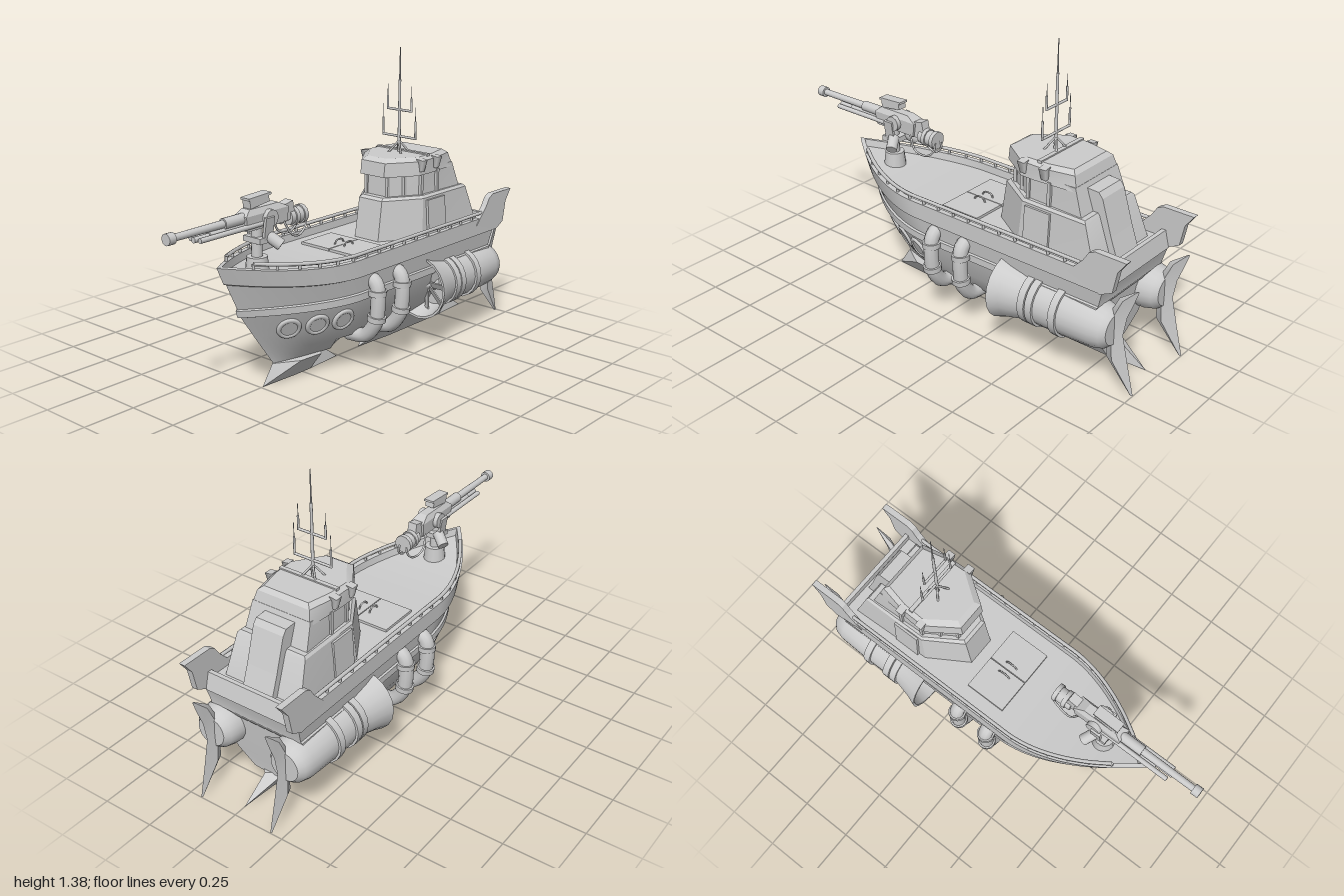
import * as THREE from 'three';
import { toCreasedNormals } from 'three/addons/utils/BufferGeometryUtils.js';

const solid = new THREE.MeshStandardMaterial({ color: 0xcccccc });
const shell = new THREE.MeshStandardMaterial({ color: 0xcccccc, side: THREE.DoubleSide });
const V = (x, y, z) => new THREE.Vector3(x, y, z);

function add(parent, name, geometry, pos = [0, 0, 0], rot = [0, 0, 0], mat = solid) {
  const mesh = new THREE.Mesh(geometry, mat);
  mesh.name = name;
  mesh.position.set(...pos);
  mesh.rotation.set(...rot);
  parent.add(mesh);
  return mesh;
}
const box = (p, name, w, h, d, pos, rot) => add(p, name, new THREE.BoxGeometry(w, h, d), pos, rot);

// Cylinder between two points
function rod(parent, name, a, b, r1, r2 = r1, sides = 14) {
  const A = V(...a), B = V(...b), d = B.clone().sub(A);
  const m = add(parent, name, new THREE.CylinderGeometry(r2, r1, d.length(), sides));
  m.position.copy(A).add(B).multiplyScalar(0.5);
  m.quaternion.setFromUnitVectors(V(0, 1, 0), d.normalize());
  return m;
}
const tube = (p, name, pts, r, n = 32, sides = 12) =>
  add(p, name, new THREE.TubeGeometry(new THREE.CatmullRomCurve3(pts, false, 'centripetal'), n, r, sides), [0, 0, 0], [0, 0, 0], shell);

// Skin through rows of points
function loft(rows, closed = true, crease = 0.55) {
  const n = rows[0].length, index = [], last = closed ? n : n - 1;
  for (let i = 0; i < rows.length - 1; i++) for (let j = 0; j < last; j++) {
    const k = (j + 1) % n, a = i * n + j, b = i * n + k, c = b + n, d = a + n;
    index.push(a, b, c, a, c, d);
  }
  const g = new THREE.BufferGeometry().setFromPoints(rows.flat());
  g.setIndex(index);
  return toCreasedNormals(g, crease);
}

// Capped solid from half outlines [x, z] (front to back), one per height
function tower(parent, name, levels, pos = [0, 0, 0]) {
  const rows = levels.map(([y, ...h]) => [
    ...h.map(([x, z]) => V(x, y, z)), ...h.slice().reverse().map(([x, z]) => V(-x, y, z))]);
  const cap = (row) => {
    const c = V(0, 0, 0);
    row.forEach((p) => c.addScaledVector(p, 1 / row.length));
    return row.map(() => c.clone());
  };
  return add(parent, name, loft([cap(rows[0]), ...rows, cap(rows.at(-1))], true, 0.4), pos, [0, 0, 0], shell);
}

// Flat profile [z, y] extruded across x
function plate(parent, name, pts, width, x = 0) {
  const s = new THREE.Shape(pts.map(([z, y]) => new THREE.Vector2(-z, y)));
  const g = new THREE.ExtrudeGeometry(s, { depth: width, bevelEnabled: false });
  return add(parent, name, g.translate(0, 0, -width / 2).rotateY(Math.PI / 2), [x, 0, 0]);
}

// Hull levels: height, half width, bow z, stern z
const LEVELS = [
  [0.07, 0, 0.41, -0.78], [0.085, 0.07, 0.42, -0.78], [0.16, 0.15, 0.475, -0.79],
  [0.25, 0.203, 0.54, -0.8], [0.35, 0.232, 0.61, -0.81], [0.355, 0.246, 0.63, -0.82],
  [0.387, 0.246, 0.64, -0.84], [0.392, 0.238, 0.63, -0.84], [0.465, 0.247, 0.69, -0.86],
  [0.472, 0.263, 0.705, -0.87], [0.55, 0.262, 0.74, -0.85], [0.55, 0.238, 0.71, -0.83],
  [0.515, 0.235, 0.7, -0.83], [0.515, 0, 0.7, -0.83]];
const taper = (t) => Math.max(0, (t - 0.64) / 0.36);
const step = THREE.MathUtils.smoothstep;
function hullPoint([y, w, bow, stern], t) {
  const u = taper(t), z = stern + (bow - stern) * t;
  const arch = 0.08 + 0.07 * step(-z, -0.13, -0.05) * step(z, -0.2, -0.13);
  const yy = y < 0.15 ? Math.max(y, arch) : y + (y > 0.46 ? 0.05 * u * u : 0);
  return V(w * (1 - u ** 1.8), yy, z);
}
function hullX(y, z) {
  const i = LEVELS.findIndex((l) => l[0] > y), a = LEVELS[i - 1], b = LEVELS[i];
  const l = a.map((v, k) => v + (b[k] - v) * (y - a[0]) / (b[0] - a[0]));
  return l[1] * (1 - taper((z - l[3]) / (l[2] - l[3])) ** 1.8);
}
const flip = (p) => V(-p.x, p.y, p.z);

function buildHull(g) {
  const rows = [];
  for (let i = 0; i <= 60; i++) {
    const half = LEVELS.map((l) => hullPoint(l, i / 60));
    rows.push([...half, ...half.slice().reverse().map(flip)]);
  }
  add(g, 'hull', loft(rows), [0, 0, 0], [0, 0, 0], shell);
  const stern = LEVELS.map((l) => hullPoint(l, 0));
  add(g, 'transom', loft([stern.map(flip), stern], false), [0, 0, 0], [0, 0, 0], shell);
  tower(g, 'frontKeel', [[0, [0, 0.49], [0.012, 0.3], [0.012, 0.2], [0, 0.01]],
    [0.09, [0, 0.43], [0.07, 0.32], [0.08, 0.2], [0, 0.13]]]);
  tower(g, 'rearKeel', [[0, [0, -0.14], [0.015, -0.35], [0.015, -0.75], [0, -0.94]],
    [0.09, [0, -0.2], [0.075, -0.3], [0.07, -0.74], [0, -0.8]]]);
  // Deck hatch
  for (const s of [1, -1]) {
    box(g, 'hatchDoor', 0.166, 0.014, 0.2, [s * 0.085, 0.52, -0.04]);
    tube(g, 'hatchHandle', [V(s * 0.028, 0.525, -0.07), V(s * 0.028, 0.542, -0.06), V(s * 0.028, 0.542, -0.02), V(s * 0.028, 0.525, -0.01)], 0.004, 10, 6);
  }
}

function buildSide(g, s) {
  // Rail on posts
  const path = [];
  for (let i = 0; i <= 16; i++) {
    const p = hullPoint([0.572, 0.25, 0.72, -0.84], 0.05 + i * 0.055);
    path.push(V(s * p.x, p.y, p.z));
    rod(g, 'railPost', [s * p.x, p.y - 0.03, p.z], [s * p.x, p.y, p.z], 0.007, 0.007, 6);
  }
  tube(g, 'rail', path, 0.009, 48, 6);
  plate(g, 'sternFin', [[-0.7, 0.52], [-0.775, 0.6], [-0.8, 0.64], [-0.83, 0.655], [-0.98, 0.655], [-0.94, 0.6], [-0.92, 0.5], [-0.86, 0.47]], 0.03, s * 0.25);
  // Portholes set into the curved side
  for (const z of [0.42, 0.305, 0.185]) {
    const y = 0.275, e = 0.01, x = hullX(y, z);
    const n = V(s, -(hullX(y + e, z) - x) / e, -(hullX(y, z + e) - x) / e).normalize();
    const hole = new THREE.Group();
    hole.name = 'porthole';
    hole.position.set(s * x, y, z);
    hole.lookAt(hole.position.clone().add(n));
    add(hole, 'portholeRing', new THREE.TorusGeometry(0.045, 0.011, 8, 24));
    add(hole, 'portholeGlass', new THREE.CylinderGeometry(0.04, 0.04, 0.012, 24), [0, 0, 0], [Math.PI / 2, 0, 0]);
    g.add(hole);
  }
  // Bent exhaust pipes
  for (const z of [0.04, -0.13]) {
    tube(g, 'sidePipe', [[0.19, 0.43], [0.245, 0.428], [0.266, 0.4], [0.268, 0.29], [0.255, 0.23], [0.2, 0.165], [0.1, 0.15]].map(([x, y]) => V(s * x, y, z)), 0.034);
    rod(g, 'pipeCollar', [s * 0.267, 0.365, z], [s * 0.268, 0.39, z], 0.042);
    rod(g, 'pipeCollar', [s * 0.266, 0.27, z], [s * 0.262, 0.245, z], 0.042);
  }
  // Engine pod with flared intake
  const engine = new THREE.Group();
  engine.name = 'engine';
  engine.position.set(s * 0.197, 0.288, 0);
  const prof = [[0, -0.9], [0.07, -0.9], [0.092, -0.875], [0.104, -0.83], [0.11, -0.68], [0.11, -0.49], [0.12, -0.45], [0.134, -0.39], [0.153, -0.34], [0.142, -0.34], [0.108, -0.45], [0, -0.45]];
  const pod = new THREE.LatheGeometry(prof.map(([r, y]) => new THREE.Vector2(r, y)), 20);
  add(engine, 'engineBody', toCreasedNormals(pod, 0.6), [0, 0, 0], [Math.PI / 2, 0, 0], shell);
  for (const z of [-0.5, -0.54, -0.66]) rod(engine, 'engineBand', [0, 0, z - 0.017], [0, 0, z + 0.017], 0.121, 0.121, 20);
  rod(engine, 'spinner', [0, 0, -0.45], [0, 0, -0.36], 0.04, 0.008);
  for (let i = 0; i < 8; i++) {
    const a = i * Math.PI / 4;
    const blade = box(engine, 'fanBlade', 0.035, 0.1, 0.006, [-Math.sin(a) * 0.07, Math.cos(a) * 0.07, -0.41]);
    blade.rotation.set(0, 0.5, a, 'ZYX');
  }
  g.add(engine);
  // Curved rudder blade
  const blade = [[0, -0.985, -1], [0.14, -0.86, -0.965], [0.27, -0.86, -0.935], [0.36, -0.87, -0.95], [0.44, -0.91, -0.98], [0.5, -0.99, -1]];
  tower(g, 'rudder', blade.map(([y, f, b], i) => [y, [0, f], [i % 5 ? 0.016 : 0.003, f * 0.65 + b * 0.35], [0, b]]), [s * 0.19, 0, 0]);
}

function buildCabin(g) {
  tower(g, 'lowerCabin', [[0.5, [0.07, -0.195], [0.185, -0.38], [0.2, -0.79]], [0.7, [0.068, -0.225], [0.175, -0.395], [0.178, -0.72]], [0.712, [0.06, -0.24], [0.165, -0.4], [0.168, -0.71]]]);
  tower(g, 'wheelhouse', [[0.7, [0.06, -0.27], [0.15, -0.41], [0.162, -0.69]], [0.83, [0.06, -0.275], [0.15, -0.41], [0.15, -0.645]]]);
  tower(g, 'roof', [[0.81, [0.07, -0.235], [0.165, -0.375], [0.166, -0.45], [0.15, -0.65]], [0.875, [0.07, -0.242], [0.165, -0.38], [0.162, -0.5], [0.135, -0.63]], [0.892, [0.055, -0.27], [0.145, -0.395], [0.14, -0.5], [0.115, -0.61]]]);
  plate(g, 'rearCasing', [[-0.6, 0.81], [-0.71, 0.805], [-0.73, 0.78], [-0.78, 0.62], [-0.82, 0.51], [-0.6, 0.51]], 0.155);
  box(g, 'roofRib', 0.3, 0.012, 0.02, [0, 0.892, -0.46]);
  for (const s of [1, -1]) {
    // Window posts, door panel and roof lamps
    for (const [x, z] of [[0.062, -0.272], [0.105, -0.34], [0.15, -0.408], [0.156, -0.52]])
      box(g, 'windowPost', 0.016, 0.11, 0.016, [s * x, 0.765, z]);
    box(g, 'cabinDoor', 0.012, 0.17, 0.13, [s * 0.187, 0.605, -0.48], [0, 0, s * 0.06]);
    for (const z of [-0.39, -0.5]) {
      const lamp = rod(g, 'sideLamp', [s * 0.16, 0.83, z], [s * 0.168, 0.885, z], 0.018, 0.026, 4);
      lamp.rotateY(Math.PI / 4);
    }
  }
}

function buildMast(g) {
  const z = -0.43;
  rod(g, 'mast', [0, 0.88, z], [0, 1.23, z], 0.008, 0.006);
  rod(g, 'mastTip', [0, 1.23, z], [0, 1.38, z], 0.004, 0.002, 6);
  for (const [x, dz] of [[0.04, 0.035], [-0.04, 0.035], [0.04, -0.035], [-0.04, -0.035]])
    rod(g, 'mastStay', [x, 0.885, z + dz], [0, 0.945, z], 0.005, 0.005, 6);
  for (const [y, w, h, top] of [[0.965, 0.095, 0.08, 1.11], [1.09, 0.07, 0.06, 1.205]]) {
    rod(g, 'crossbar', [-w, y, z], [w, y, z], 0.006, 0.006, 8);
    for (const s of [1, -1]) {
      rod(g, 'aerialBase', [s * w, y - 0.005, z], [s * w, y + h, z], 0.005, 0.005, 8);
      rod(g, 'aerial', [s * w, y + h, z], [s * w, top, z], 0.002, 0.0015, 5);
    }
  }
}

function buildGun(g) {
  const along = (name, x, y, z0, z1, r, r2) => rod(g, name, [x, y, z0], [x, y, z1], r, r2);
  rod(g, 'pedestalBase', [0, 0.51, 0.51], [0, 0.6, 0.51], 0.055, 0.045);
  rod(g, 'pedestal', [0, 0.6, 0.51], [0, 0.73, 0.51], 0.024);
  along('barrel', 0, 0.778, 0.58, 0.98, 0.018, 0.015);
  along('muzzle', 0, 0.778, 0.965, 1, 0.025);
  along('barrelSleeve', 0, 0.778, 0.58, 0.7, 0.024);
  along('recoilTube', 0, 0.745, 0.5, 0.78, 0.019);
  along('recoilRod', 0, 0.745, 0.78, 0.86, 0.012);
  for (const s of [1, -1]) {
    along('coolingTube', s * 0.028, 0.745, 0.45, 0.85, 0.011);
    rod(g, 'trunnion', [s * 0.025, 0.765, 0.47], [s * 0.055, 0.765, 0.47], 0.036);
    box(g, 'yokeArm', 0.014, 0.11, 0.05, [s * 0.05, 0.72, 0.49], [0, 0, -s * 0.15]);
    rod(g, 'aimMotor', [s * 0.035, 0.69, 0.48], [s * 0.085, 0.65, 0.45], 0.026);
    tube(g, 'cable', [V(s * 0.03, 0.73, 0.38), V(s * 0.04, 0.665, 0.34), V(s * 0.03, 0.65, 0.28), V(s * 0.025, 0.69, 0.235), V(s * 0.015, 0.73, 0.24)], 0.005, 20, 6);
  }
  tower(g, 'receiver', [[0.725, [0.03, 0.59], [0.032, 0.36]], [0.79, [0.035, 0.6], [0.035, 0.35]], [0.815, [0.022, 0.57], [0.022, 0.4]]]);
  box(g, 'yokeBase', 0.1, 0.025, 0.08, [0, 0.675, 0.5]);
  box(g, 'breech', 0.045, 0.075, 0.09, [0, 0.76, 0.35], [0.2, 0, 0]);
  box(g, 'sightBlock', 0.045, 0.035, 0.11, [0, 0.84, 0.51], [0.12, 0, 0]);
  box(g, 'sightCap', 0.05, 0.01, 0.13, [0, 0.86, 0.51], [0.05, 0, 0]);
  along('rearMotor', 0, 0.73, 0.24, 0.33, 0.036);
  for (const z of [0.235, 0.285]) along('rearMotorBand', 0, 0.73, z, z + 0.02, 0.042);
}

export function createModel() {
  const model = new THREE.Group();
  model.name = 'gunboat';
  const part = (name, build, ...args) => {
    const g = new THREE.Group();
    g.name = name;
    build(g, ...args);
    model.add(g);
  };
  part('hullAssembly', buildHull);
  part('leftSide', buildSide, 1);
  part('rightSide', buildSide, -1);
  part('cabin', buildCabin);
  part('mastAssembly', buildMast);
  part('deckGun', buildGun);
  return model;
}
